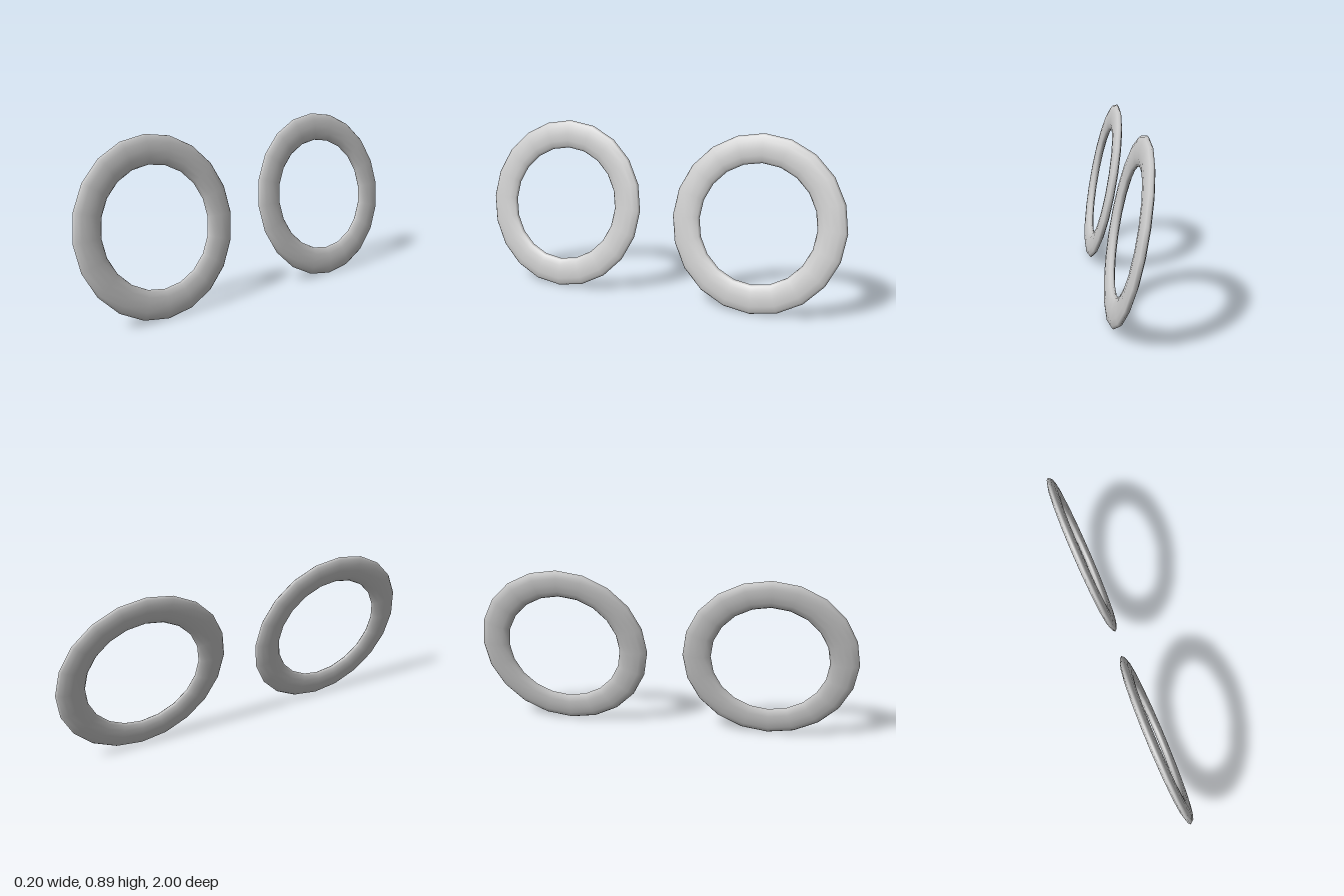
import * as THREE from 'three';

const RING_RADIUS = 0.379;
const TUBE_RADIUS = 0.074;
const FLATTEN = 0.305; // tube thickness relative to its width
const TILT = THREE.MathUtils.degToRad(11.2);

export function createModel() {
  const group = new THREE.Group();
  group.name = 'ringPair';
  const material = new THREE.MeshStandardMaterial({ color: 0xcccccc });

  // Flattened ring whose axis points along x, top leaning towards -x
  const geometry = new THREE.TorusGeometry(RING_RADIUS, TUBE_RADIUS, 12, 20);
  geometry.scale(1, 1, FLATTEN);
  geometry.rotateY(Math.PI / 2);
  geometry.rotateZ(TILT);

  // One ring in front, one behind
  for (const [name, side] of [['frontRing', 1], ['backRing', -1]]) {
    const ring = new THREE.Mesh(geometry, material);
    ring.name = name;
    ring.position.set(0, 0.448, side * 0.547);
    group.add(ring);
  }
  return group;
}
